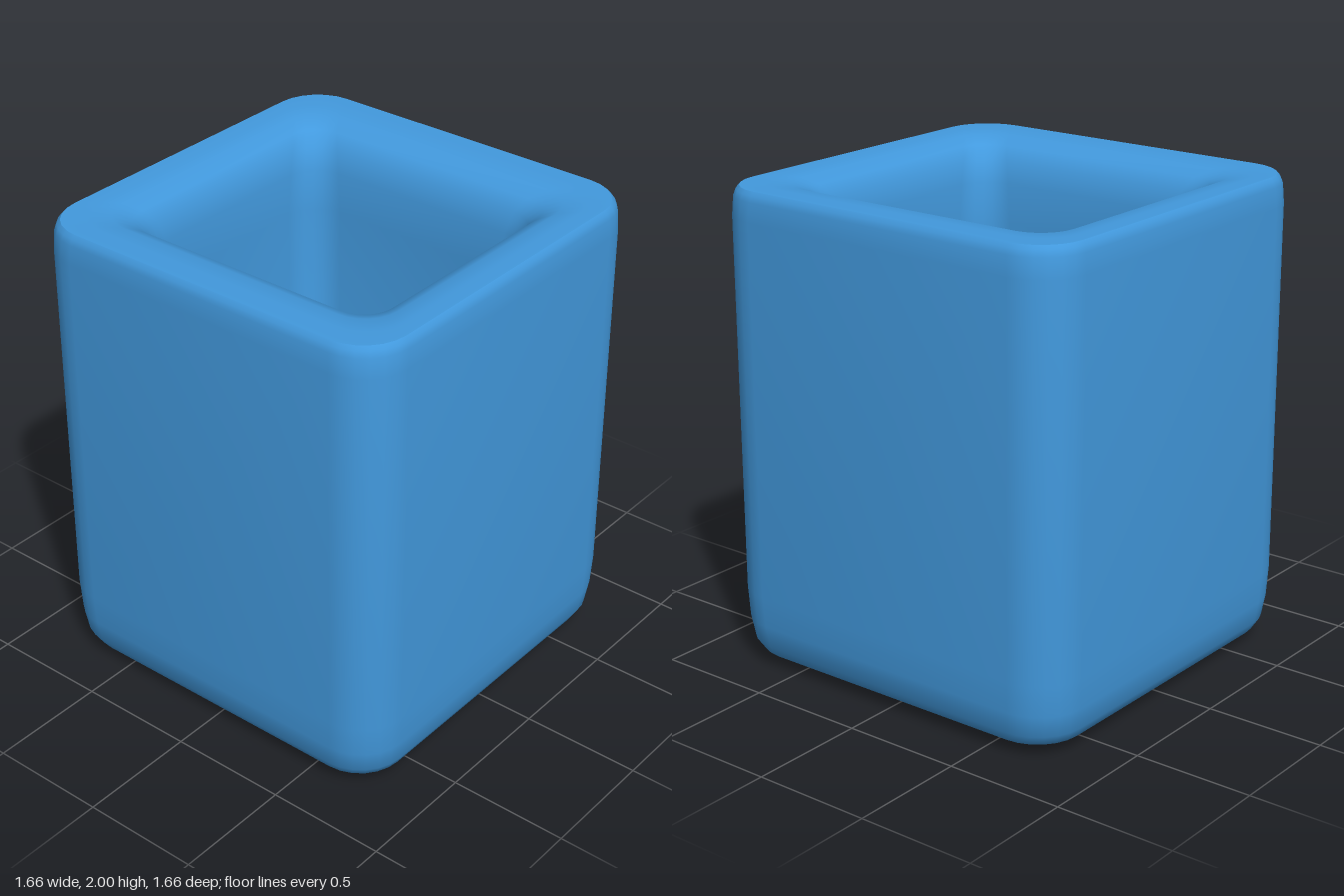
import * as THREE from 'three';
import { toCreasedNormals } from 'three/addons/utils/BufferGeometryUtils.js';

const CORNER_STEPS = 6;

// Points of a rounded rectangle ring at height y
function ring(hx, hz, r, y) {
  const points = [];
  for (let c = 0; c < 4; c++) {
    const sx = c === 0 || c === 3 ? 1 : -1;
    const sz = c < 2 ? 1 : -1;
    for (let i = 0; i <= CORNER_STEPS; i++) {
      const a = (c + i / CORNER_STEPS) * Math.PI / 2;
      points.push(sx * (hx - r) + r * Math.cos(a), y, sz * (hz - r) + r * Math.sin(a));
    }
  }
  return points;
}

// Skin over a list of rings [halfX, halfZ, cornerRadius, y]
function loft(sections) {
  const n = 4 * (CORNER_STEPS + 1);
  const positions = sections.flatMap(s => ring(...s));
  const index = [];
  for (let i = 0; i < sections.length - 1; i++) {
    for (let j = 0; j < n; j++) {
      const k = (j + 1) % n;
      const a = i * n + j, b = i * n + k, c = b + n, d = a + n;
      index.push(a, d, b, b, d, c);
    }
  }
  const geometry = new THREE.BufferGeometry();
  geometry.setAttribute('position', new THREE.Float32BufferAttribute(positions, 3));
  geometry.setIndex(index);
  return toCreasedNormals(geometry, 0.65);
}

export function createModel() {
  const group = new THREE.Group();
  group.name = 'squareCup';

  const sections = [
    // underside and rounded foot
    [0, 0, 0, 0],
    [0.6, 0.6, 0.1, 0],
    [0.67, 0.67, 0.14, 0.007],
    [0.73, 0.73, 0.17, 0.022],
    [0.785, 0.785, 0.19, 0.053],
    [0.812, 0.812, 0.2, 0.1],
    [0.824, 0.824, 0.2, 0.19],
    [0.83, 0.83, 0.2, 0.32],
    // outer wall and crisp top edge
    [0.83, 0.83, 0.2, 1.88],
    [0.825, 0.825, 0.2, 1.96],
    [0.818, 0.818, 0.2, 1.985],
    [0.805, 0.805, 0.19, 2],
    // rim rolling into the opening
    [0.74, 0.72, 0.17, 2],
    [0.67, 0.64, 0.15, 1.993],
    [0.61, 0.575, 0.13, 1.965],
    [0.575, 0.535, 0.13, 1.91],
    [0.56, 0.513, 0.14, 1.82],
    // inner wall and floor
    [0.555, 0.503, 0.15, 1.65],
    [0.552, 0.498, 0.15, 0.32],
    [0.54, 0.48, 0.14, 0.27],
    [0.5, 0.44, 0.12, 0.25],
    [0, 0, 0, 0.25],
  ];

  const cup = new THREE.Mesh(loft(sections), new THREE.MeshStandardMaterial({ color: 0x4299dd }));
  cup.name = 'cupBody';
  group.add(cup);
  return group;
}
